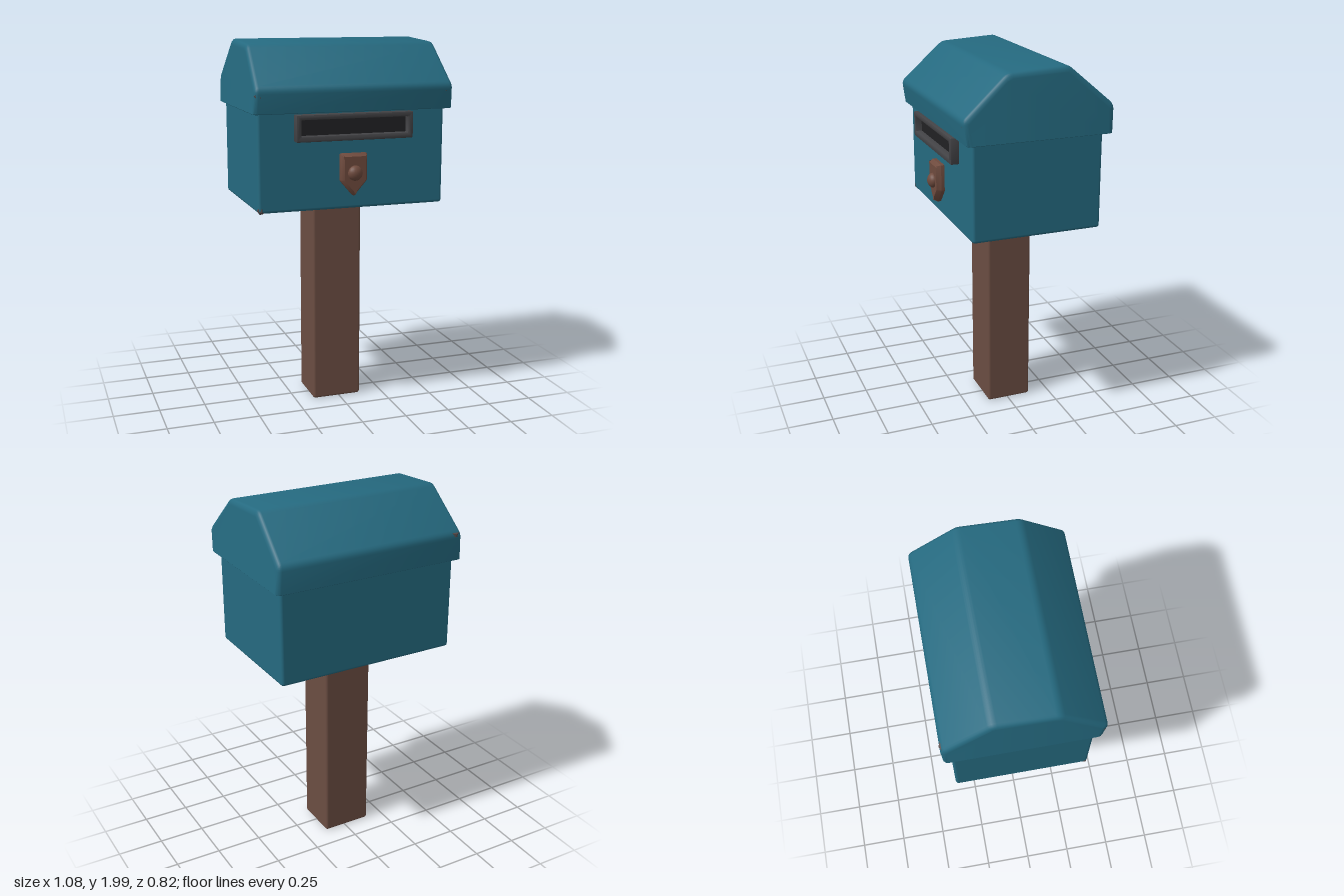
import * as THREE from 'three';
import { toCreasedNormals } from 'three/addons/utils/BufferGeometryUtils.js';
import { RoundedBoxGeometry } from 'three/addons/geometries/RoundedBoxGeometry.js';

const mat = (name, color) => new THREE.MeshStandardMaterial({ name, color });

// Closed outline with softened corners
function softShape(points, r, Type = THREE.Shape) {
  const pts = points.map(([x, y]) => new THREE.Vector2(x, y));
  const s = new Type();
  pts.forEach((p, i) => {
    const prev = pts[(i + pts.length - 1) % pts.length];
    const next = pts[(i + 1) % pts.length];
    const a = p.clone().add(prev.clone().sub(p).setLength(r));
    const b = p.clone().add(next.clone().sub(p).setLength(r));
    if (i === 0) s.moveTo(a.x, a.y); else s.lineTo(a.x, a.y);
    s.quadraticCurveTo(p.x, p.y, b.x, b.y);
  });
  s.closePath();
  return s;
}

const rect = (x0, y0, x1, y1) => [[x0, y0], [x1, y0], [x1, y1], [x0, y1]];

export function createModel() {
  const teal = mat('teal paint', 0x256a80);
  const wood = mat('brown wood', 0x6b4d42);
  const copper = mat('copper brown', 0x6e4a3d);
  const grey = mat('dark grey metal', 0x434346);
  const black = mat('slot black', 0x212123);
  const bare = mat('worn metal', 0x524848);

  const group = new THREE.Group();
  const add = (name, geometry, material, x = 0, y = 0, z = 0) => {
    const m = new THREE.Mesh(geometry, material);
    m.name = name;
    m.position.set(x, y, z);
    group.add(m);
    return m;
  };

  // Post with a flared collar under the box
  add('post', new RoundedBoxGeometry(0.275, 1.15, 0.25, 2, 0.014), wood, -0.014, 0.58, -0.007);
  const collar = new THREE.CylinderGeometry(Math.SQRT1_2, Math.SQRT1_2 * 0.8, 0.03, 4);
  collar.rotateY(Math.PI / 4);
  collar.scale(0.335, 1, 0.285);
  add('collar', toCreasedNormals(collar, 0.5), wood, -0.012, 1.128, -0.007);

  // Box body, narrowing slightly towards the floor
  const body = new RoundedBoxGeometry(1.015, 0.53, 0.7, 3, 0.016);
  add('body', body, teal, -0.004, 1.403, -0.01);

  // Lid: gambrel profile run along x, ends leaning inwards
  const half = 0.54, bevel = 0.022, base = 1.643;
  const profile = [[-0.37, base], [0.4, base], [0.407, 1.79], [0.16, 2.0], [-0.16, 1.982], [-0.394, 1.77]];
  const lid = new THREE.ExtrudeGeometry(softShape(profile, 0.025), {
    depth: 2 * (half - bevel), bevelEnabled: true, bevelThickness: bevel,
    bevelSize: 0.028, bevelOffset: -0.028, bevelSegments: 3, curveSegments: 4,
  });
  lid.translate(0, 0, -(half - bevel));
  lid.rotateY(Math.PI / 2);
  const p = lid.attributes.position;
  for (let i = 0; i < p.count; i++) {
    let y = p.getY(i);
    p.setX(i, p.getX(i) * (1 - 0.12 * (y - base)));
    // Keep the rim flat and full width at its lower edge
    if (y < base + 0.05) y = base + (y - base) * 0.2;
    p.setY(i, y);
  }
  add('lid', toCreasedNormals(lid, 0.6), teal);

  // Mail slot: bevelled frame around a dark opening
  const frameShape = softShape(rect(-0.32, 1.5, 0.312, 1.638), 0.006);
  frameShape.holes.push(softShape(rect(-0.293, 1.53, 0.283, 1.612), 0.004, THREE.Path));
  const frame = new THREE.ExtrudeGeometry(frameShape, {
    depth: 0.05, bevelEnabled: true, bevelThickness: 0.008, bevelSize: 0.007,
    bevelOffset: -0.007, bevelSegments: 2, curveSegments: 2,
  });
  add('slotFrame', toCreasedNormals(frame, 0.5), grey, 0, 0, 0.328);
  add('slotOpening', new THREE.BoxGeometry(0.585, 0.09, 0.008), black, -0.005, 1.571, 0.346);

  // Shield-shaped lock plate with a round knob
  const shield = softShape([[-0.077, 1.287], [-0.006, 1.205], [0.067, 1.287], [0.067, 1.43], [-0.077, 1.43]], 0.006);
  const plate = new THREE.ExtrudeGeometry(shield, {
    depth: 0.02, bevelEnabled: true, bevelThickness: 0.024, bevelSize: 0.014,
    bevelOffset: -0.014, bevelSegments: 1, curveSegments: 2,
  });
  add('lockPlate', toCreasedNormals(plate, 0.5), copper, 0, 0, 0.338);
  const knob = add('lockKnob', new THREE.SphereGeometry(0.04, 20, 14), copper, -0.006, 1.33, 0.38);
  knob.scale.z = 0.8;

  // Worn paint chips on the corners
  const chips = [
    [-0.503, 1.738, 0.373, 0.032, 0.023, 0.016],
    [0.492, 1.745, 0.374, 0.036, 0.023, 0.016],
    [-0.492, 1.782, -0.386, 0.034, 0.02, 0.024],
    [-0.494, 1.155, 0.325, 0.022, 0.023, 0.018],
  ];
  for (const [x, y, z, sx, sy, sz] of chips) {
    add('paintChip', new THREE.DodecahedronGeometry(1, 0), bare, x, y, z).scale.set(sx, sy, sz);
  }
  return group;
}
